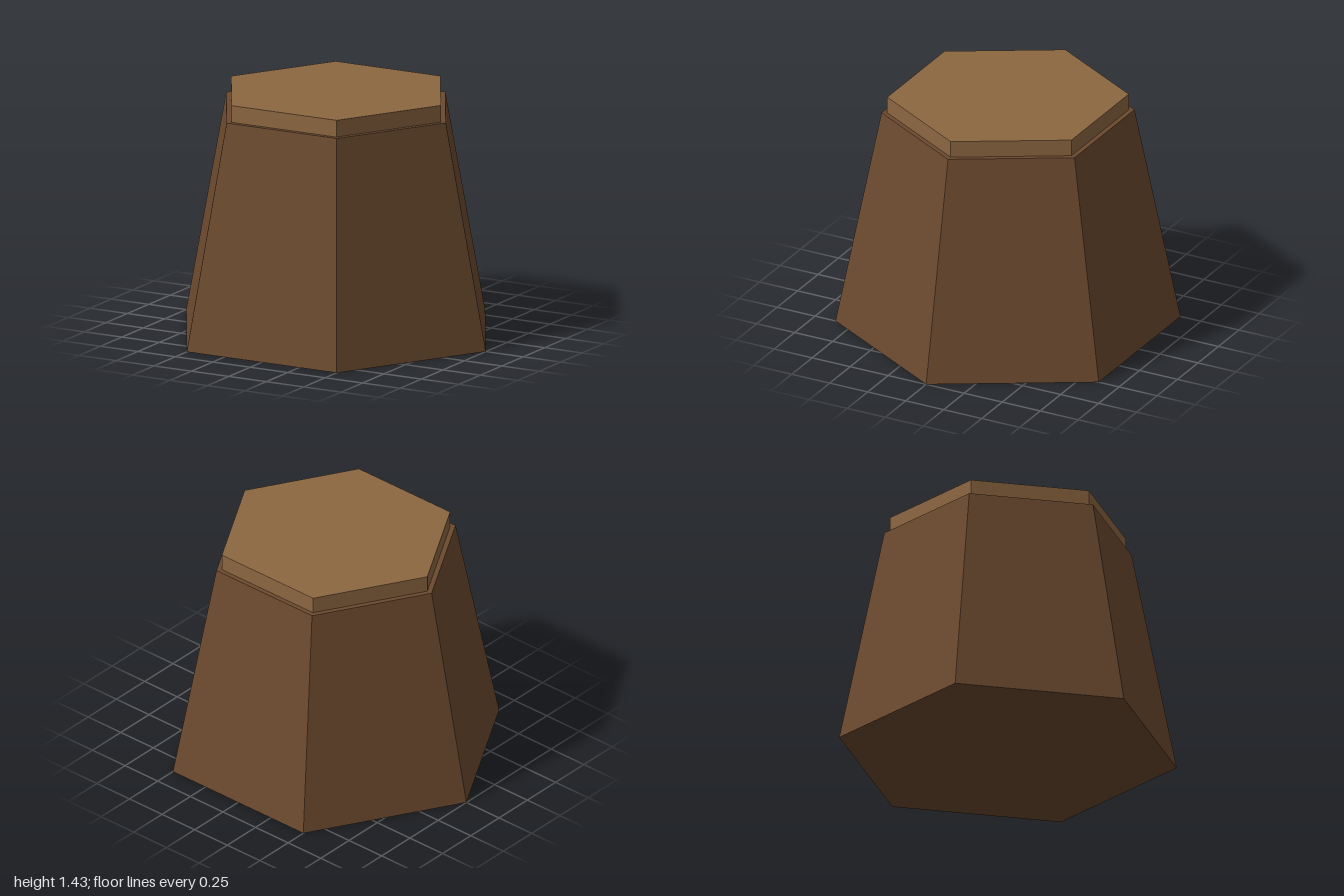
import * as THREE from 'three';

const bark = new THREE.MeshStandardMaterial({ name: 'bark brown', color: 0x6c4a2f, flatShading: true });
const wood = new THREE.MeshStandardMaterial({ name: 'cut wood tan', color: 0x8d6741, flatShading: true });

// Six-sided prism or frustum with corners on the x axis, standing on y = bottom
function hexPart(name, topRadius, bottomRadius, bottom, top, material) {
  const geometry = new THREE.CylinderGeometry(topRadius, bottomRadius, top - bottom, 6, 1, false, Math.PI / 6);
  geometry.translate(0, (top + bottom) / 2, 0);
  const mesh = new THREE.Mesh(geometry, material);
  mesh.name = name;
  return mesh;
}

export function createModel() {
  const group = new THREE.Group();
  group.name = 'treeStump';
  // Tapered trunk
  group.add(hexPart('trunk', 0.733, 1, 0, 1.333, bark));
  // Pale slab of cut wood on top
  group.add(hexPart('cutTop', 0.7, 0.7, 1.333, 1.433, wood));
  return group;
}
